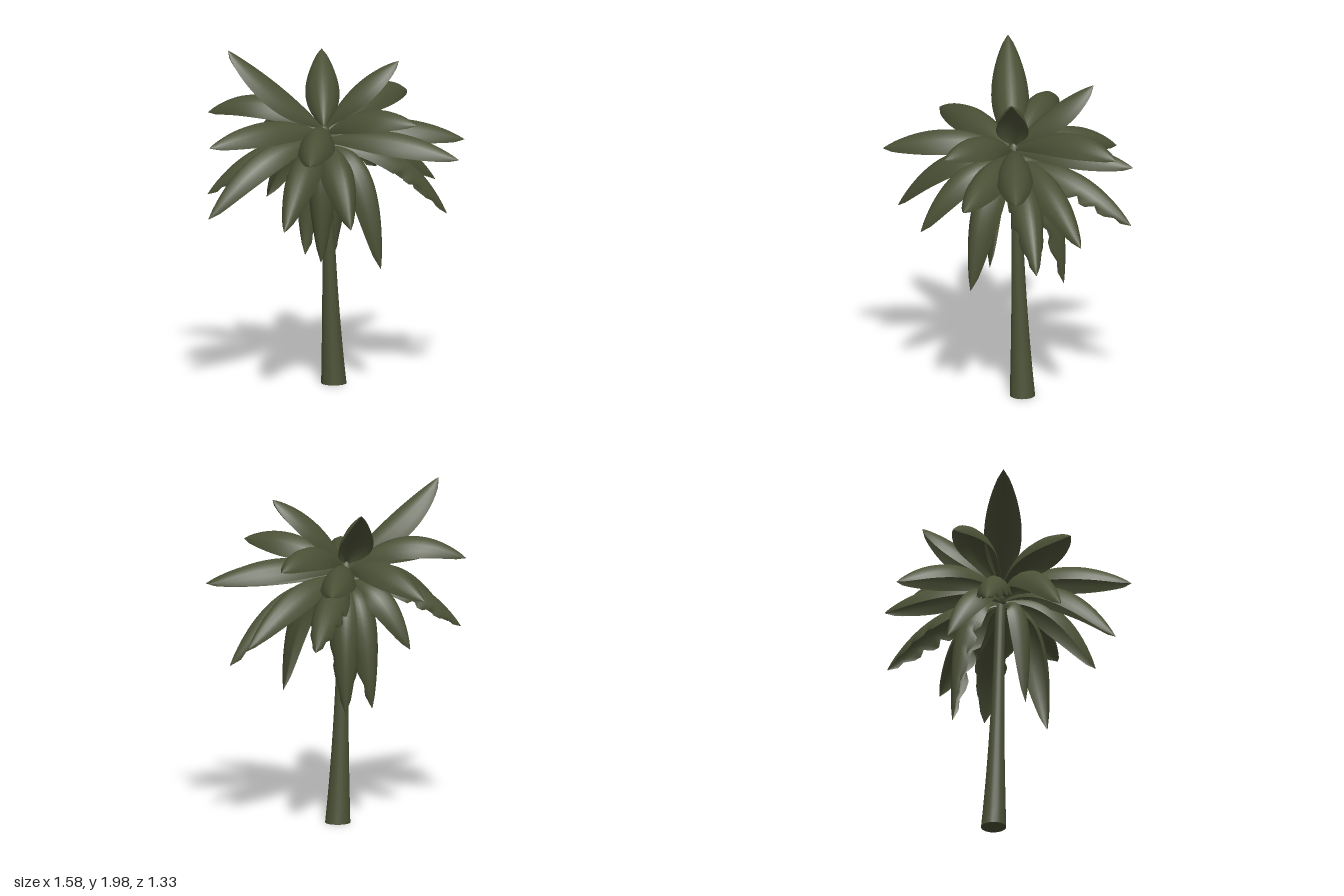
import * as THREE from 'three';

const foliage = new THREE.MeshStandardMaterial({ color: 0x4b5136, side: THREE.DoubleSide });
foliage.name = 'olive green';

// Each frond: tip x, y, z, height of the bend, reach of the bend, half width, base height, ragged edge
const UPPER = [
  [-0.46, 1.98, -0.28, 1.73, 0.42, 0.11, 1.52],
  [0.37, 1.9, 0.25, 1.79, 0.4, 0.095, 1.52],
  [0.29, 1.88, -0.37, 1.74, 0.45, 0.1, 1.52],
];
const MIDDLE = [
  [0.08, 1.39, -0.67, 1.66, 0.5, 0.105, 1.47],
  [-0.38, 1.56, -0.57, 1.8, 0.5, 0.1, 1.48],
  [-0.79, 1.49, -0.03, 1.67, 0.5, 0.105, 1.48],
  [-0.51, 1.44, 0.55, 1.66, 0.5, 0.105, 1.48],
  [0.22, 1.6, 0.61, 1.73, 0.5, 0.105, 1.48],
  [0.49, 1.37, 0.66, 1.58, 0.5, 0.105, 1.44],
  [0.7, 1.43, 0.44, 1.63, 0.5, 0.105, 1.47],
  [0.78, 1.6, -0.2, 1.79, 0.6, 0.105, 1.49],
  [0.61, 1.46, -0.43, 1.62, 0.5, 0.1, 1.47],
];
const LOWER = [
  [-0.5, 1.12, -0.42, 1.5, 0.55, 0.1, 1.42, 1],
  [-0.76, 1.06, -0.08, 1.57, 0.55, 0.1, 1.42],
  [-0.58, 1.04, 0.4, 1.55, 0.55, 0.1, 1.4],
  [-0.18, 1.02, 0.51, 1.5, 0.65, 0.1, 1.4],
  [0.69, 0.97, 0.29, 1.5, 0.6, 0.1, 1.4, 1],
  [0.79, 1.12, 0.05, 1.54, 0.55, 0.1, 1.42],
  [0.68, 1.14, -0.37, 1.5, 0.55, 0.1, 1.4, 1],
  [-0.07, 1.05, -0.42, 1.5, 0.7, 0.1, 1.4],
];
const HANGING = [
  [0.14, 0.73, 0.38, 1.48, 0.95, 0.1, 1.4],
  [-0.08, 0.75, 0.1, 1.45, 1.4, 0.085, 1.38],
  [0.24, 0.69, -0.2, 1.45, 1.05, 0.1, 1.38, 1],
  [0.1, 0.71, -0.28, 1.45, 1.05, 0.1, 1.38, 1],
];

// Arched blade: folded cross-sections swept along a bent midrib
function frondGeometry([x, y, z, bendY, reach, half, baseY, ragged]) {
  const a = Math.atan2(z, x - 0.02);
  const out = new THREE.Vector3(Math.cos(a), 0, Math.sin(a));
  const side = new THREE.Vector3(-out.z, 0, out.x);
  const midrib = new THREE.QuadraticBezierCurve3(
    new THREE.Vector3(0.02 + out.x * 0.015, baseY, out.z * 0.015),
    new THREE.Vector3(0.02 + (x - 0.02) * reach, bendY, z * reach),
    new THREE.Vector3(x, y, z));
  const ROWS = 20, COLS = 8, pos = [], index = [];
  for (let i = 0; i <= ROWS; i++) {
    const t = i / ROWS;
    const p = midrib.getPoint(t);
    const normal = new THREE.Vector3().crossVectors(side, midrib.getTangent(t)).normalize();
    const w = Math.max(half * Math.pow(Math.max(0, Math.sin(Math.PI * Math.pow(t, 1.08))), 0.65),
      0.014 * (1 - t), 0.002);
    for (let j = 0; j <= COLS; j++) {
      const s = (j / COLS) * 2 - 1, e = Math.abs(s);
      // Torn leaflets on the older fronds
      const tear = ragged && t > 0.45 && e === 1 && i % 3 === 0 ? 0.75 : 1;
      const q = p.clone()
        .addScaledVector(side, w * tear * Math.sin(s * 1.4))
        .addScaledVector(normal, w * (0.18 - 1.15 * Math.pow(e, 1.6) * tear));
      pos.push(q.x, q.y, q.z);
      if (i < ROWS && j < COLS) {
        const k = i * (COLS + 1) + j, n = k + COLS + 1;
        index.push(k, k + 1, n, k + 1, n + 1, n);
      }
    }
  }
  const g = new THREE.BufferGeometry();
  g.setAttribute('position', new THREE.Float32BufferAttribute(pos, 3));
  g.setIndex(index);
  g.computeVertexNormals();
  return g;
}

// Trunk with one straight side and a flared foot
function trunkGeometry() {
  const H = 1.46;
  const g = new THREE.CylinderGeometry(1, 1, H, 20, 14);
  const p = g.attributes.position;
  for (let i = 0; i < p.count; i++) {
    const t = THREE.MathUtils.clamp(p.getY(i) / H + 0.5, 0, 1);
    const r = 0.03 + 0.043 * Math.pow(1 - t, 2.2);
    const x = 0.025 + r - 0.025 * t * t * t;
    p.setXYZ(i, x + p.getX(i) * r, t * H, -0.008 * (1 - t) + p.getZ(i) * r);
  }
  g.computeVertexNormals();
  return g;
}

export function createModel() {
  const model = new THREE.Group();
  model.name = 'palmTree';
  const add = (parent, name, geometry) => {
    const m = new THREE.Mesh(geometry, foliage);
    m.name = name;
    parent.add(m);
    return m;
  };

  add(model, 'trunk', trunkGeometry());

  // Bud where the fronds meet
  const bud = add(model, 'crownBud', new THREE.SphereGeometry(0.04, 14, 10));
  bud.scale.y = 2;
  bud.position.set(0.02, 1.45, 0);

  for (const [name, list] of Object.entries({ upper: UPPER, middle: MIDDLE, lower: LOWER, hanging: HANGING })) {
    const tier = new THREE.Group();
    tier.name = name + 'Fronds';
    list.forEach((f, i) => add(tier, name + 'Frond' + (i + 1), frondGeometry(f)));
    model.add(tier);
  }
  return model;
}
